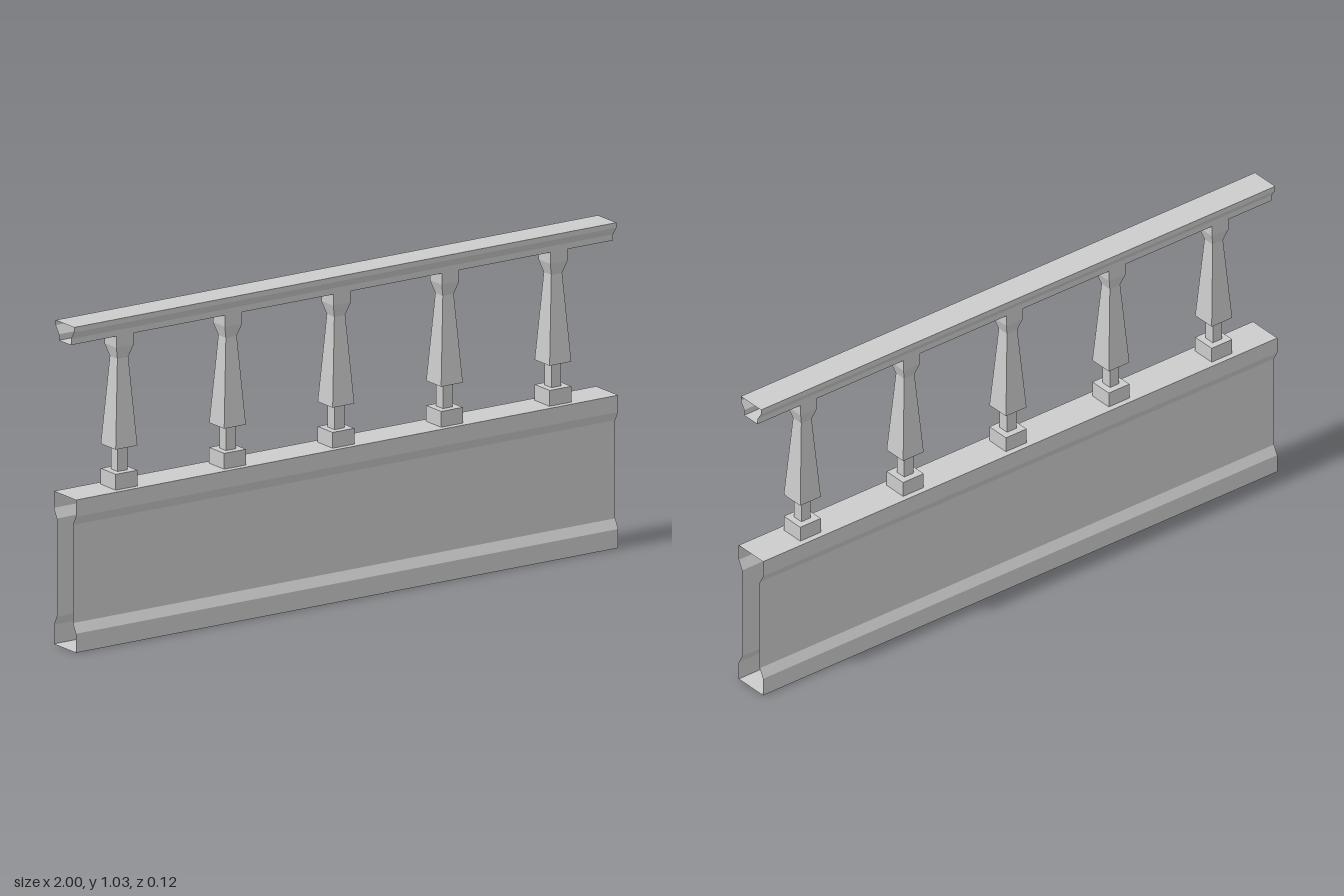
import * as THREE from 'three';

const solid = new THREE.MeshStandardMaterial({ color: 0xcccccc, flatShading: true });
const shell = new THREE.MeshStandardMaterial({ color: 0xcccccc, flatShading: true, side: THREE.DoubleSide });

// Open-ended hollow moulding along x; half = [half depth, y] from bottom to top
function moulding(name, half, length = 2) {
  const loop = [...half, ...half.map(([z, y]) => [-z, y]).reverse()];
  const x = length / 2, position = [];
  loop.forEach(([z0, y0], i) => {
    const [z1, y1] = loop[(i + 1) % loop.length];
    position.push(-x, y0, z0, x, y0, z0, x, y1, z1, -x, y0, z0, x, y1, z1, -x, y1, z1);
  });
  const geometry = new THREE.BufferGeometry();
  geometry.setAttribute('position', new THREE.Float32BufferAttribute(position, 3));
  geometry.computeVertexNormals();
  const mesh = new THREE.Mesh(geometry, shell);
  mesh.name = name;
  return mesh;
}

// Square block standing between two heights
function block(name, half, y0, y1) {
  const mesh = new THREE.Mesh(new THREE.BoxGeometry(half * 2, y1 - y0, half * 2), solid);
  mesh.position.y = (y0 + y1) / 2;
  mesh.name = name;
  return mesh;
}

// Square tapered shaft with a flared head
function shaft() {
  const profile = [[0, 0.611], [0.04, 0.611], [0.02, 0.89], [0.032, 0.93], [0.032, 0.966], [0, 0.966]];
  const points = profile.map(([r, y]) => new THREE.Vector2(r * Math.SQRT2, y));
  const mesh = new THREE.Mesh(new THREE.LatheGeometry(points, 4, Math.PI / 4), solid);
  mesh.name = 'balusterShaft';
  return mesh;
}

export function createModel() {
  const model = new THREE.Group();
  model.name = 'balustrade';

  // Parapet wall with a recessed panel on both sides
  model.add(moulding('wall', [
    [0.059, 0], [0.059, 0.06], [0.043, 0.09], [0.043, 0.4], [0.059, 0.43], [0.059, 0.483],
  ]));

  // Handrail with an undercut lip
  model.add(moulding('handrail', [
    [0.032, 0.966], [0.032, 0.985], [0.049, 1.01], [0.049, 1.026],
  ]));

  // Five evenly spaced balusters
  for (let i = -2; i <= 2; i++) {
    const baluster = new THREE.Group();
    baluster.name = 'baluster';
    baluster.add(block('balusterFoot', 0.04, 0.483, 0.533));
    baluster.add(block('balusterNeck', 0.018, 0.533, 0.611));
    baluster.add(shaft());
    baluster.position.x = i * 0.4;
    model.add(baluster);
  }
  return model;
}
